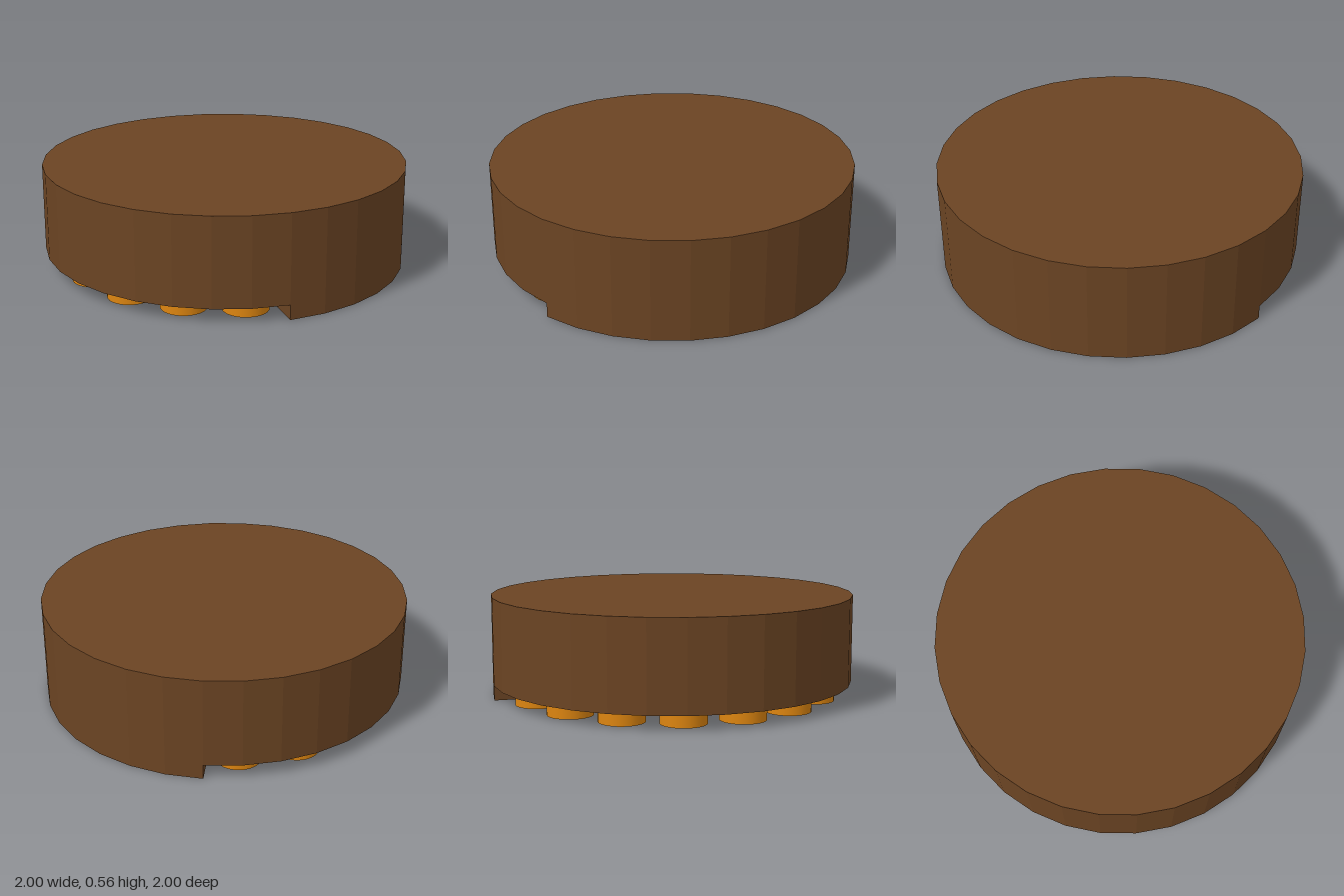
import * as THREE from 'three';

const SIDES = 32, STEP = (Math.PI * 2) / SIDES;
const OUTER = 1, INNER = 0.57, FLOOR = 0.08, CEILING = 0.55, TOP = 0.56;

// Points on a circle from side index a to side index b
function arc(radius, a, b) {
  const points = [];
  for (let i = a; i <= b; i++) {
    points.push(new THREE.Vector2(Math.cos(i * STEP) * radius, Math.sin(i * STEP) * radius));
  }
  return points;
}

// Upright slab with the given plan (shape y becomes z)
function slab(shape, bottom, top) {
  const geometry = new THREE.ExtrudeGeometry(shape, { depth: top - bottom, bevelEnabled: false });
  geometry.rotateX(Math.PI / 2);
  geometry.translate(0, top, 0);
  return geometry;
}

export function createModel() {
  const group = new THREE.Group();
  const brown = new THREE.MeshStandardMaterial({ color: 0x6b4423, flatShading: true });
  const orange = new THREE.MeshStandardMaterial({ color: 0xdd8510, side: THREE.DoubleSide });

  function add(name, geometry, material) {
    const mesh = new THREE.Mesh(geometry, material);
    mesh.name = name;
    group.add(mesh);
    return mesh;
  }

  // Main wall: full ring whose hole has one flat stretch
  const wall = new THREE.Shape(arc(OUTER, 0, SIDES - 1));
  wall.holes.push(new THREE.Path(arc(INNER, -8, 19)));
  add('outerWall', slab(wall, FLOOR, CEILING), brown);

  // Closed top over the hollow
  const lid = add('topPlate', new THREE.CylinderGeometry(OUTER, OUTER, TOP - CEILING, SIDES), brown);
  lid.position.y = (TOP + CEILING) / 2;

  // Lower rim: a ring sector on the +x side
  const rim = new THREE.Shape([...arc(OUTER, -7, 7), ...arc(INNER, -7, 7).reverse()]);
  add('lowerRim', slab(rim, 0, FLOOR), brown);

  // Short tubes set along the cut-away side, the last one closed
  for (let i = 0; i < 9; i++) {
    const angle = Math.PI / 2 + i * STEP * 2;
    const tube = add('roundStud', new THREE.CylinderGeometry(0.122, 0.122, FLOOR, 32, 1, i < 8), orange);
    tube.position.set(Math.cos(angle) * 0.8, FLOOR / 2, Math.sin(angle) * 0.8);
  }
  return group;
}
